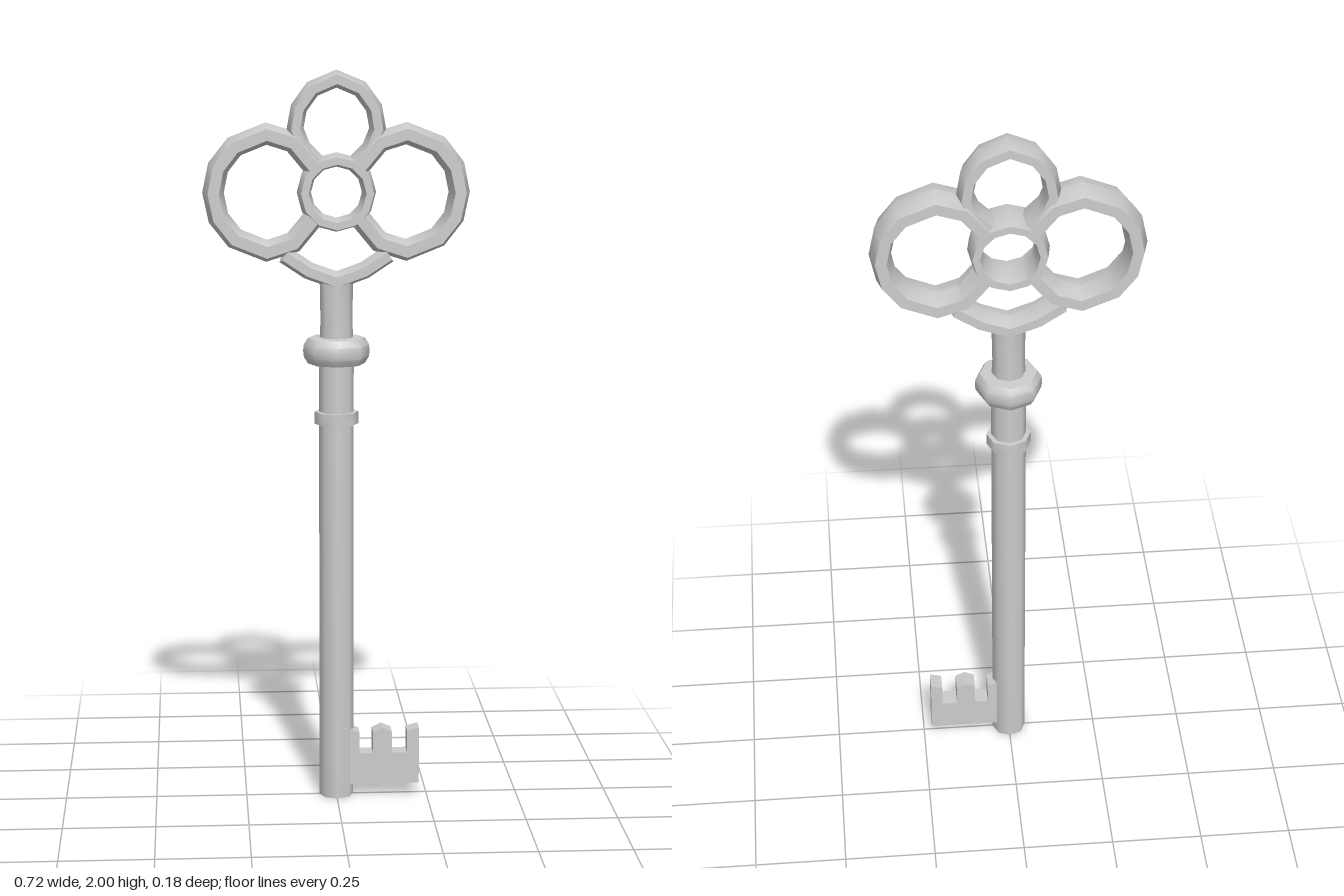
import * as THREE from 'three';
import { mergeVertices, toCreasedNormals } from 'three/addons/utils/BufferGeometryUtils.js';

const material = new THREE.MeshStandardMaterial({ color: 0xcccccc, side: THREE.DoubleSide });
const BOW_Y = 1.677;

// Sweeps a bevelled, six-sided band along a counter-clockwise path in the xy plane.
function band(path, width, depth, closed = false) {
  const w = width / 2, b = width * 0.24;
  const section = [[w, 0], [w - b, depth], [b - w, depth], [-w, 0], [b - w, -depth], [w - b, -depth]];
  const n = path.length, m = section.length;
  const pts = path.map(([x, y]) => new THREE.Vector2(x, y));
  const positions = [], index = [];
  pts.forEach((p, i) => {
    const prev = closed ? pts[(i + n - 1) % n] : pts[Math.max(i - 1, 0)];
    const next = closed ? pts[(i + 1) % n] : pts[Math.min(i + 1, n - 1)];
    const t0 = p.clone().sub(prev).normalize(), t1 = next.clone().sub(p).normalize();
    const t = t0.clone().add(t1).normalize();
    const miter = 1 / Math.max(0.6, t.dot(t1.lengthSq() > 0 ? t1 : t0));
    for (const [u, z] of section) positions.push(p.x + t.y * u * miter, p.y - t.x * u * miter, z);
  });
  for (let i = 0; i < (closed ? n : n - 1); i++) {
    for (let j = 0; j < m; j++) {
      const k = (j + 1) % m, i2 = (i + 1) % n;
      const a = i * m + j, b2 = i2 * m + j, c = i2 * m + k, d = i * m + k;
      index.push(a, b2, c, a, c, d);
    }
  }
  if (!closed) {
    const e = (n - 1) * m;
    for (let j = 1; j < m - 1; j++) index.push(0, j, j + 1, e, e + j + 1, e + j);
  }
  const g = new THREE.BufferGeometry();
  g.setAttribute('position', new THREE.Float32BufferAttribute(positions, 3));
  g.setIndex(index);
  return toCreasedNormals(g, 0.75);
}

// Eight-sided turned part from a bottom-to-top profile.
function turned(profile) {
  const g = new THREE.LatheGeometry(profile.map(([r, y]) => new THREE.Vector2(r, y)), 8);
  g.deleteAttribute('normal');
  g.deleteAttribute('uv');
  return toCreasedNormals(mergeVertices(g), 0.83);
}

const mirrorX = (pts) => pts.map(([x, y]) => [-x, y]).reverse();

export function createModel() {
  const group = new THREE.Group();
  const add = (name, geometry) => {
    const mesh = new THREE.Mesh(geometry, material);
    mesh.name = name;
    group.add(mesh);
  };

  // Shaft with a hollow tip
  add('shaft', turned([[0, 0.1], [0.03, 0.1], [0.03, 0], [0.047, 0], [0.047, 1.25],
    [0.043, 1.33], [0.045, 1.44], [0, 1.44]]));

  // Collars
  add('largeCollar', turned([[0.04, 1.213], [0.077, 1.215], [0.088, 1.233], [0.09, 1.25],
    [0.088, 1.267], [0.077, 1.285], [0.04, 1.287]]));
  add('smallCollar', turned([[0.04, 1.05], [0.06, 1.05], [0.06, 1.083], [0.04, 1.083]]));

  // Central ring of the bow
  const ring = [];
  for (let i = 0; i < 12; i++) {
    const a = i * Math.PI / 6;
    ring.push([0.087 * Math.cos(a), BOW_Y + 0.087 * Math.sin(a)]);
  }
  add('centreRing', band(ring, 0.037, 0.055, true));

  // Side loops, open where they meet the central ring
  const upper = [[0.315, 0.067], [0.272, 0.122], [0.187, 0.156], [0.115, 0.133], [0.063, 0.07]];
  const sidePath = [
    ...upper.map(([x, y]) => [x, BOW_Y - y]).reverse(),
    [0.329, BOW_Y],
    ...upper.map(([x, y]) => [x, BOW_Y + y]),
  ];
  add('leftLoop', band(sidePath, 0.056, 0.053));
  add('rightLoop', band(mirrorX(sidePath), 0.056, 0.053));

  // Top loop
  const topHalf = [[0.05, 1.755], [0.09, 1.795], [0.11, 1.845], [0.1, 1.9], [0.064, 1.95]];
  add('topLoop', band([...topHalf, [0, 1.977], ...mirrorX(topHalf)], 0.044, 0.042));

  // Bottom bridge between the side loops and the shaft
  const bridgeHalf = [[0.075, 1.467], [0.14, 1.51]];
  add('bottomBridge', band([...mirrorX(bridgeHalf), [0, 1.44], ...bridgeHalf], 0.047, 0.043));

  // Toothed bit
  const outline = [[0.03, 0.035], [0.228, 0.035], [0.228, 0.194], [0.195, 0.185], [0.195, 0.123],
    [0.153, 0.123], [0.153, 0.183], [0.126, 0.195], [0.1, 0.183], [0.1, 0.123],
    [0.063, 0.123], [0.063, 0.182], [0.03, 0.194]];
  const bit = new THREE.ExtrudeGeometry(
    new THREE.Shape(outline.map(([x, y]) => new THREE.Vector2(x, y))),
    { depth: 0.052, bevelEnabled: false });
  bit.translate(0, 0, -0.026);
  add('bit', bit);

  return group;
}
